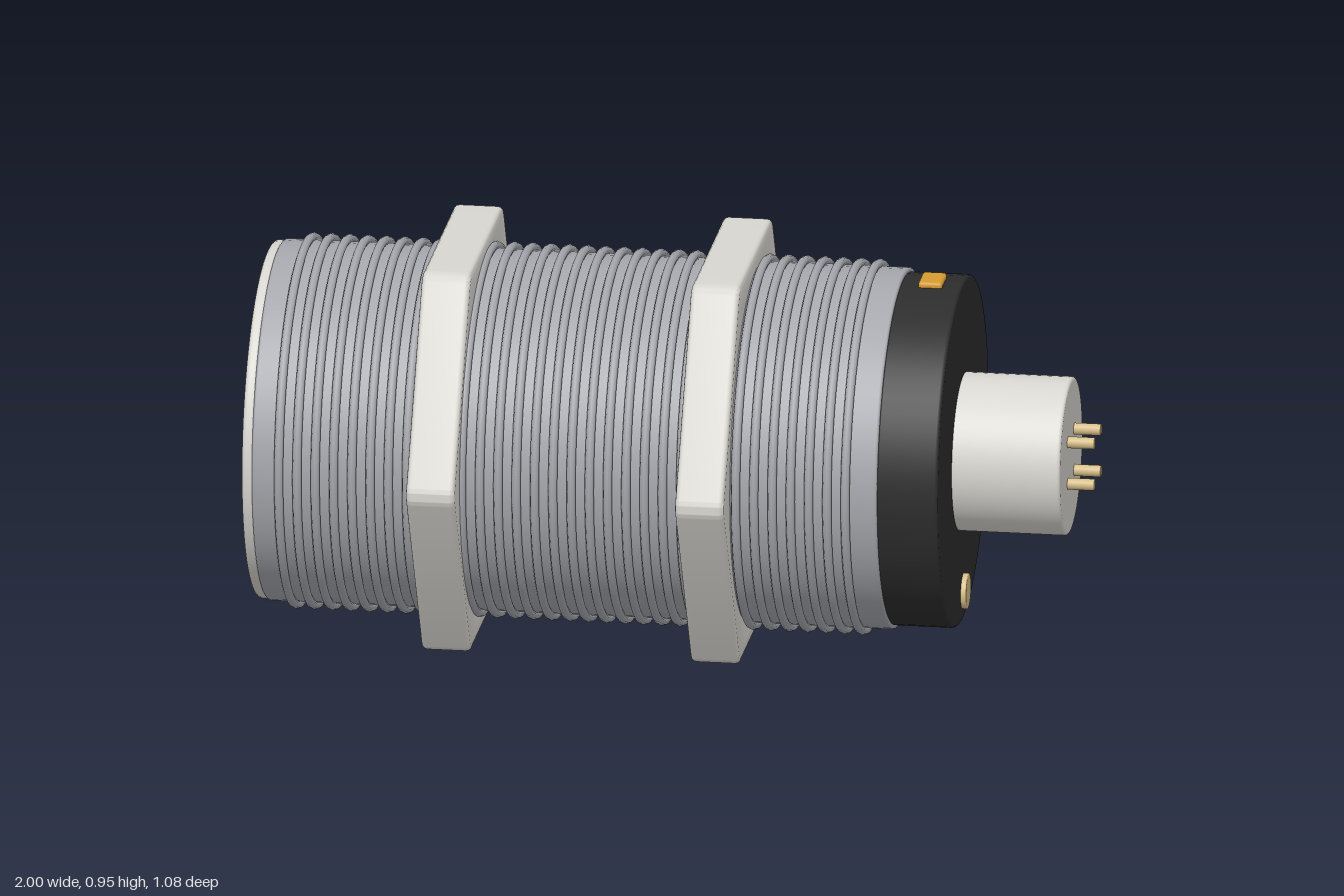
import * as THREE from 'three';
import { toCreasedNormals } from 'three/addons/utils/BufferGeometryUtils.js';
import { RoundedBoxGeometry } from 'three/addons/geometries/RoundedBoxGeometry.js';

const AXIS_Y = 0.477;

const material = (name, color) => {
  const m = new THREE.MeshStandardMaterial({ color });
  m.name = name;
  return m;
};

// Solid disc or barrel along x with rounded rims, from x0 to x1
function barrel(x0, x1, radius, bevel, segments = 72) {
  const pts = [new THREE.Vector2(0, x0), new THREE.Vector2(radius - bevel - 0.002, x0)];
  const steps = 4;
  for (let i = 0; i <= steps; i++) {
    const a = (i / steps) * Math.PI / 2;
    pts.push(new THREE.Vector2(radius - bevel + bevel * Math.sin(a), x0 + bevel - bevel * Math.cos(a)));
  }
  for (let i = 0; i <= steps; i++) {
    const a = (i / steps) * Math.PI / 2;
    pts.push(new THREE.Vector2(radius - bevel + bevel * Math.cos(a), x1 - bevel + bevel * Math.sin(a)));
  }
  pts.push(new THREE.Vector2(radius - bevel - 0.002, x1), new THREE.Vector2(0, x1));
  return new THREE.LatheGeometry(pts, segments).rotateZ(-Math.PI / 2);
}

// Hexagonal nut with rounded corners and softened edges, centred on x = 0
function hexNut(apothem, width, cornerRadius, bevel) {
  const inner = apothem - bevel;
  const r = cornerRadius - bevel;
  const centreDist = (inner - r) / Math.cos(Math.PI / 6);
  const shape = new THREE.Shape();
  for (let i = 0; i < 6; i++) {
    const a = i * Math.PI / 3;
    shape.absarc(centreDist * Math.cos(a), centreDist * Math.sin(a), r, a - Math.PI / 6, a + Math.PI / 6, false);
  }
  shape.closePath();
  const hole = new THREE.Path();
  hole.absarc(0, 0, 0.42, 0, Math.PI * 2, true);
  shape.holes.push(hole);
  const depth = width - 2 * bevel;
  const geo = new THREE.ExtrudeGeometry(shape, {
    depth, curveSegments: 8, bevelEnabled: true, bevelThickness: bevel, bevelSize: bevel, bevelSegments: 3,
  });
  geo.translate(0, 0, -depth / 2).rotateY(Math.PI / 2);
  return toCreasedNormals(geo, 0.6);
}

export function createModel() {
  const steel = material('threaded steel', 0xa5a7ac);
  const pale = material('pale metal', 0xd8d6d0);
  const black = material('black plastic', 0x2c2c2c);
  const brass = material('brass', 0xd6be89);
  const amber = material('amber', 0xd69b32);

  const model = new THREE.Group();
  model.name = 'cylindricalSensor';
  const add = (name, geo, mat, x = 0, y = 0, z = 0, parent = model) => {
    const mesh = new THREE.Mesh(geo, mat);
    mesh.name = name;
    mesh.position.set(x, y, z);
    parent.add(mesh);
    return mesh;
  };

  // Housing and sensing face
  add('housing', barrel(-0.975, 0.53, 0.432, 0.006), steel, 0, AXIS_Y);
  add('sensingFace', barrel(-1, -0.97, 0.428, 0.01), pale, 0, AXIS_Y);

  // Thread ridges
  const threads = new THREE.Group();
  threads.name = 'threads';
  model.add(threads);
  const ridge = new THREE.TorusGeometry(0.438, 0.011, 8, 72).rotateY(Math.PI / 2);
  for (let i = 0; i < 32; i++) {
    add('threadRidge', ridge, steel, -0.909 + i * 0.044, AXIS_Y, 0, threads);
  }

  // Two lock nuts
  const nut = hexNut(0.474, 0.117, 0.045, 0.012);
  for (const x of [-0.53, 0.118]) add('lockNut', nut, pale, x, AXIS_Y);

  // Rear cap with indicator light and adjustment screw
  add('rearCap', barrel(0.525, 0.675, 0.422, 0.008), black, 0, AXIS_Y);
  add('indicatorLight', new RoundedBoxGeometry(0.058, 0.03, 0.086, 3, 0.008), amber, 0.601, 0.895, 0);
  add('adjustmentScrew', barrel(0.66, 0.688, 0.043, 0.003, 32), brass, 0, 0.126);

  // Connector and its four pins
  add('connector', barrel(0.67, 0.935, 0.19, 0.008), pale, 0, AXIS_Y);
  const pin = barrel(0.92, 1, 0.014, 0.002, 20);
  for (const sy of [-1, 1]) {
    for (const sz of [-1, 1]) add('pin', pin, brass, 0, AXIS_Y + sy * 0.052, sz * 0.052);
  }
  return model;
}
